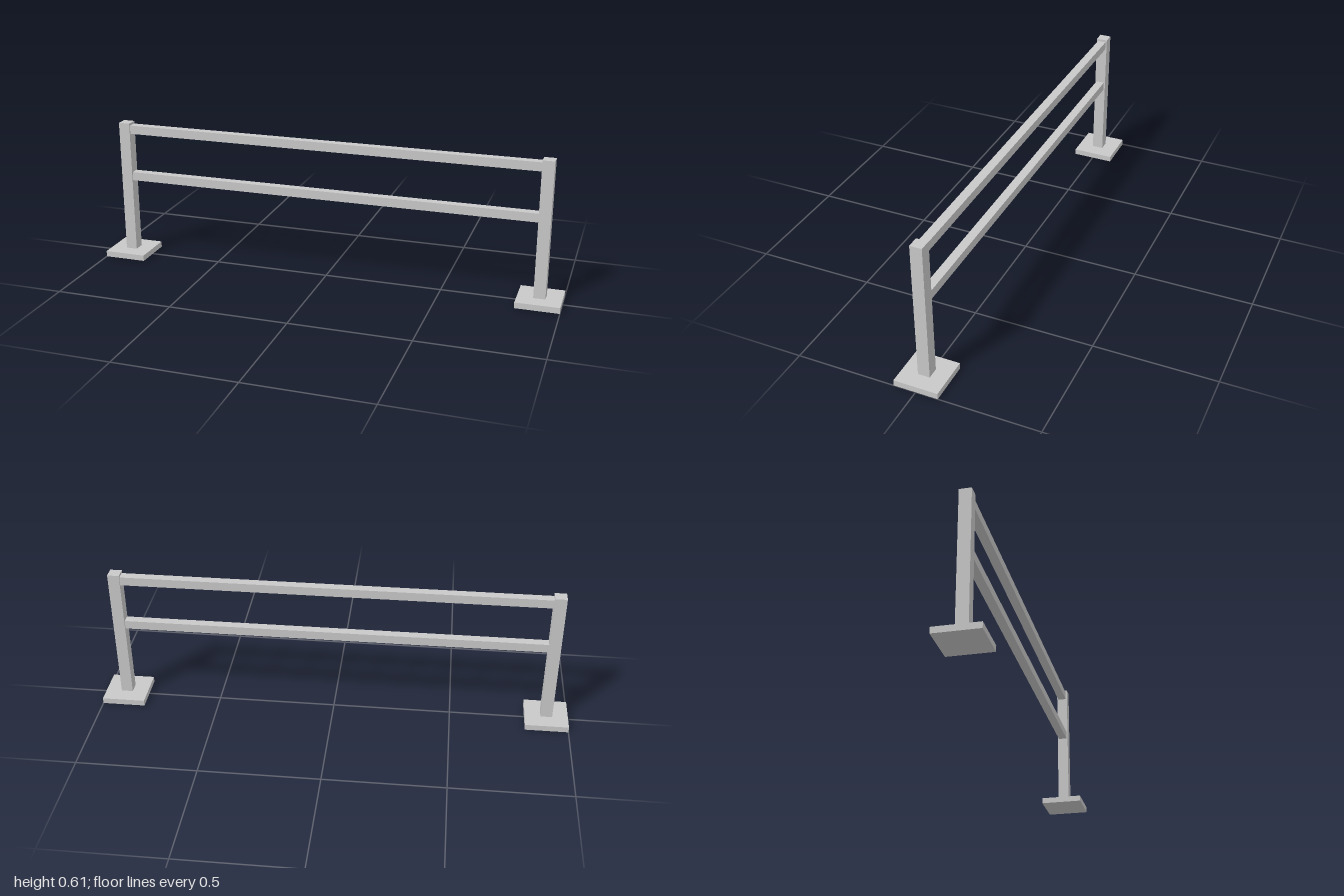
import * as THREE from 'three';

export function createModel() {
  const model = new THREE.Group();
  const steel = new THREE.MeshStandardMaterial({ color: 0xc8c8c8 });
  steel.name = 'light grey steel';

  // Box placed by its centre x, with its underside at y = bottom
  const addBox = (name, width, height, depth, x, bottom) => {
    const mesh = new THREE.Mesh(new THREE.BoxGeometry(width, height, depth), steel);
    mesh.name = name;
    mesh.position.set(x, bottom + height / 2, 0);
    model.add(mesh);
  };

  const plateSize = 0.182, plateHeight = 0.025;
  const postX = 1 - plateSize / 2, postWidth = 0.049;

  // Square foot plates and upright posts
  for (const [side, s] of [['left', 1], ['right', -1]]) {
    addBox(`${side}FootPlate`, plateSize, plateHeight, plateSize, s * postX, 0);
    addBox(`${side}Post`, postWidth, 0.58, postWidth, s * postX, plateHeight);
  }

  // Two equal rails spanning between the inner faces of the posts
  const railLength = 2 * postX - postWidth, railSize = 0.037;
  addBox('upperRail', railLength, railSize, railSize, 0, 0.558);
  addBox('lowerRail', railLength, railSize, railSize, 0, 0.347);

  return model;
}
